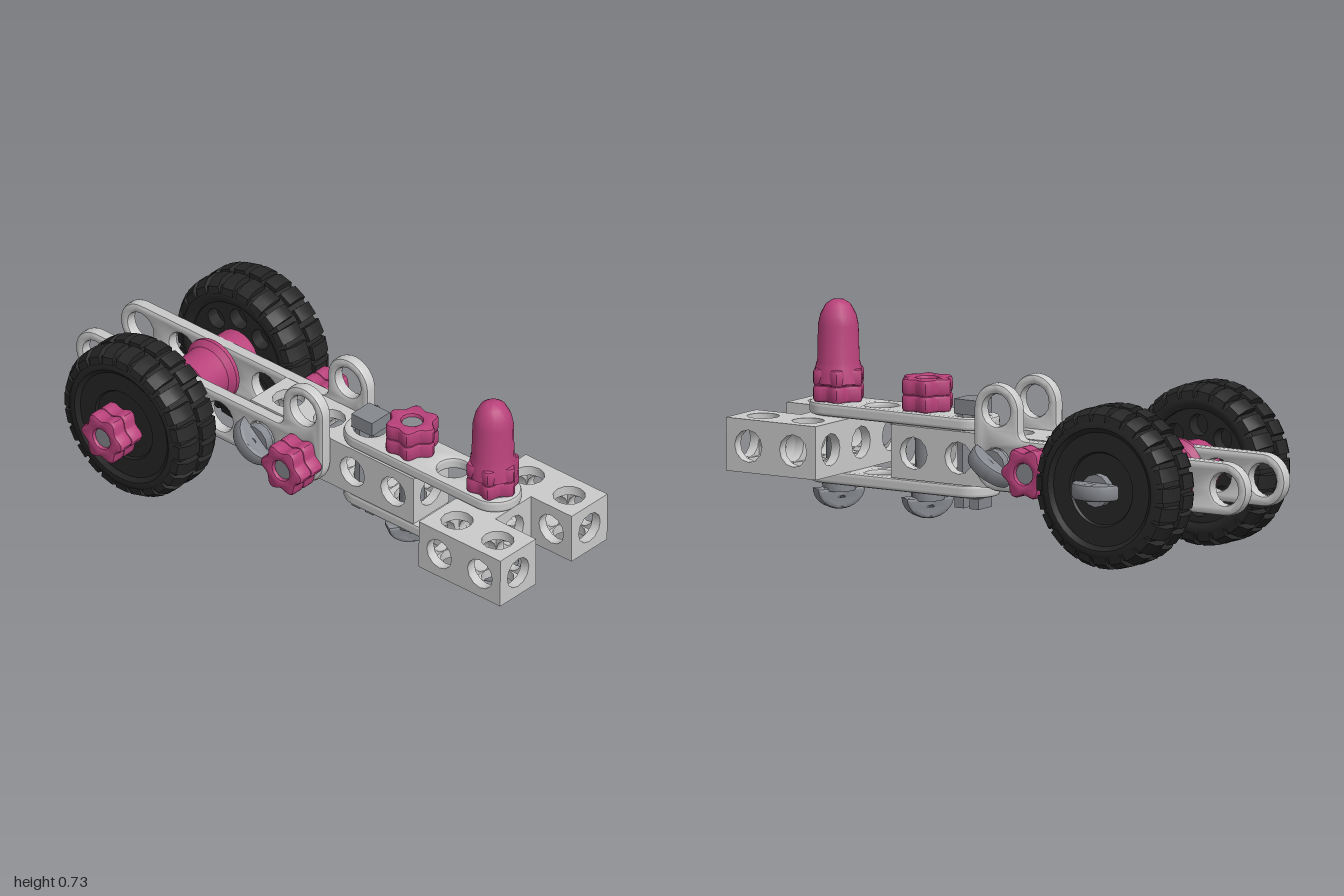
import * as THREE from 'three';
import { mergeGeometries, toCreasedNormals } from 'three/addons/utils/BufferGeometryUtils.js';

const P = 0.181;      // hole pitch
const S = 0.178;      // block size
const HOLE = 0.054;
const SEAT = 0.135;   // outer face of the strips, measured from the centre line

const mat = (color) => new THREE.MeshStandardMaterial({ color, side: THREE.DoubleSide });
const grey = mat(0xcccccc), pink = mat(0xb8417a), steel = mat(0x85888e), black = mat(0x262626);

function add(parent, name, geo, material, x = 0, y = 0, z = 0, crease = 0.6) {
  const mesh = new THREE.Mesh(toCreasedNormals(geo, crease), material);
  mesh.name = name;
  mesh.position.set(x, y, z);
  parent.add(mesh);
  return mesh;
}

function group(parent, name, x = 0, y = 0, z = 0) {
  const g = new THREE.Group();
  g.name = name;
  g.position.set(x, y, z);
  parent.add(g);
  return g;
}

const circle = (x, y, r) => new THREE.Path().absarc(x, y, r, 0, Math.PI * 2, true);
const lathe = (pts, n = 24) => new THREE.LatheGeometry(pts.map(([r, y]) => new THREE.Vector2(r, y)), n);

// Extrusion of total thickness t, centred on z = 0
function slab(shape, t, bevel = 0, seg = 6) {
  const g = new THREE.ExtrudeGeometry(shape, {
    depth: t - 2 * bevel, curveSegments: seg, bevelEnabled: bevel > 0,
    bevelThickness: bevel, bevelSize: bevel, bevelOffset: -bevel, bevelSegments: 2,
  });
  return g.translate(0, 0, bevel - t / 2);
}

// Hollow square beam of n cells along x, bored in all three directions
function beam(parent, name, n, x, y, z) {
  const g = group(parent, name, x, y, z), wall = 0.034;
  const face = (cells) => {
    const w = cells * S / 2, h = S / 2;
    const s = new THREE.Shape([[-w, -h], [w, -h], [w, h], [-w, h]].map((p) => new THREE.Vector2(...p)));
    for (let i = 0; i < cells; i++) s.holes.push(circle((i - (cells - 1) / 2) * S, 0, HOLE));
    return slab(s, wall);
  };
  const off = S / 2 - wall / 2;
  for (let i = 0; i < 4; i++) add(g, 'beamSide', face(n).translate(0, 0, off).rotateX(i * Math.PI / 2), grey);
  for (let i = 0; i <= n; i++) {
    const inset = i === 0 ? wall / 2 : i === n ? -wall / 2 : 0;
    add(g, 'beamPartition', face(1).rotateY(Math.PI / 2), grey, (i - n / 2) * S + inset);
  }
  return g;
}

// Straight strip with n holes, first hole at x = 0
function straightStrip(n) {
  const r = S / 2, s = new THREE.Shape();
  s.absarc((n - 1) * P, 0, r, -Math.PI / 2, Math.PI / 2);
  s.absarc(0, 0, r, Math.PI / 2, Math.PI * 1.5);
  for (let i = 0; i < n; i++) s.holes.push(circle(i * P, 0, HOLE));
  return slab(s, 0.044, 0.012, 8);
}

// L-shaped strip: five pitches back from the corner and one pitch up
function angleStrip() {
  const r = S / 2, s = new THREE.Shape();
  s.absarc(0, 0, r, -Math.PI / 2, 0);
  s.absarc(0, P, r, 0, Math.PI);
  s.lineTo(-r, r + 0.03);
  s.quadraticCurveTo(-r, r, -r - 0.03, r);
  s.absarc(-5 * P, 0, r, Math.PI / 2, Math.PI * 1.5);
  for (let i = -5; i <= 0; i++) s.holes.push(circle(i * P, 0, HOLE));
  s.holes.push(circle(0, P, HOLE));
  return slab(s, 0.044, 0.012, 8);
}

// Six-lobed nut in two tiers, standing on y = 0
function nut(parent) {
  const pts = [];
  for (let i = 0; i < 48; i++) {
    const a = i * Math.PI / 24, r = 0.081 + 0.01 * Math.cos(6 * a);
    pts.push(new THREE.Vector2(r * Math.cos(a), r * Math.sin(a)));
  }
  const s = new THREE.Shape(pts);
  s.holes.push(circle(0, 0, 0.035));
  for (const y of [0.026, 0.08]) add(parent, 'nutTier', slab(s, 0.058, 0.012).rotateX(-Math.PI / 2), pink, 0, y);
}

// Bolt along +y: wing head below the seat, shaft of length len, nut or peg on top
function bolt(parent, name, len, wingAngle, peg = false) {
  const g = group(parent, name);
  const s = new THREE.Shape();
  s.absellipse(0, -0.02, 0.087, 0.072, Math.PI, Math.PI * 2);
  s.holes.push(circle(0, -0.06, 0.012));
  add(g, 'wingHead', slab(s, 0.056, 0.012, 8).rotateY(wingAngle), steel);
  add(g, 'shaft', lathe([[0, -0.03], [0.055, -0.03], [0.055, 0], [0.042, 0], [0.042, len + 0.095], [0, len + 0.095]], 12), steel);
  const top = group(g, peg ? 'peg' : 'nut', 0, len, 0);
  nut(top);
  if (peg) {
    add(top, 'pegBody', lathe([[0.084, 0.06], [0.076, 0.115], [0.071, 0.13], [0.068, 0.25], [0.06, 0.285],
      [0.042, 0.318], [0.02, 0.333], [0, 0.335]], 16), pink);
  }
  return g;
}

// Wheel along y, outer face up
function wheel(parent, name, z) {
  const g = group(parent, name, 0, 0, z);
  add(g, 'tyre', lathe([[0.04, -0.03], [0.19, -0.03], [0.19, -0.085], [0.205, -0.094], [0.225, -0.094], [0.248, -0.08],
    [0.252, 0], [0.248, 0.08], [0.225, 0.094], [0.205, 0.094], [0.19, 0.082], [0.125, 0.082], [0.12, 0.074],
    [0.04, 0.074]], 40), black);
  // Inner hub disc with a ring of round openings
  const disc = new THREE.Shape().absarc(0, 0, 0.192, 0, Math.PI * 2);
  for (let i = 0; i < 8; i++) {
    disc.holes.push(circle(0.135 * Math.cos(i * Math.PI / 4), 0.135 * Math.sin(i * Math.PI / 4), 0.036));
  }
  add(g, 'hubDisc', slab(disc, 0.045, 0, 12).rotateX(-Math.PI / 2), black, 0, -0.052);
  // Two staggered rows of tread blocks
  const profile = new THREE.Shape([[0.235, 0.008], [0.266, 0.008], [0.27, 0.03], [0.268, 0.062], [0.25, 0.092], [0.225, 0.097]]
    .map((p) => new THREE.Vector2(...p)));
  const blocks = [];
  for (let i = 0; i < 48; i++) {
    const b = slab(profile, 0.048);
    if (i % 2) b.rotateX(Math.PI);
    blocks.push(b.rotateY(i * Math.PI / 24));
  }
  add(g, 'tread', mergeGeometries(blocks), black);
  g.rotation.x = Math.sign(z) * Math.PI / 2;
}

export function createModel() {
  const root = new THREE.Group();
  root.name = 'constructionSetVehicle';
  const car = group(root, 'vehicle', 0.005, 0.267, -0.04);
  car.rotation.set(0, 0.03, -0.005);

  // Chassis: bored beam, side angle strips, upper and lower strips
  beam(car, 'mainBeam', 4, 0.5 * P, 0, 0);
  for (const side of [-1, 1]) {
    add(car, 'angleStrip', angleStrip(), grey, 0, 0, side * 0.112);
    add(car, 'deckStrip', straightStrip(4).rotateX(Math.PI / 2), grey, P, side * 0.112, 0);
  }

  // U-shaped end block
  const fork = group(car, 'forkBlock', 0.715, 0, 0);
  beam(fork, 'forkCross', 3, 0, 0, 0).rotation.y = Math.PI / 2;
  for (const side of [-1, 1]) beam(fork, 'forkArm', 1, S, 0, side * S);

  // Vertical bolts, one carrying the tall peg
  bolt(car, 'deckBolt', 2 * SEAT, 1).position.set(2 * P, -SEAT, 0);
  bolt(car, 'pegBolt', 2 * SEAT, 1, true).position.set(0.715, -SEAT, 0);

  // Split clip pin through the first deck hole
  const pin = group(car, 'clipPin', P, 0, 0);
  for (const side of [-1, 1]) {
    add(pin, 'pinLeg', new THREE.BoxGeometry(0.02, 0.35, 0.06), steel, side * 0.032, 0.005, 0);
    add(pin, 'pinFoot', new THREE.BoxGeometry(0.035, 0.035, 0.08), steel, side * 0.03, -0.158, 0);
  }
  add(pin, 'pinHead', new THREE.BoxGeometry(0.09, 0.05, 0.09), steel, 0, 0.163, 0);

  // Cross bolts clamping the side strips to the beam
  const crossA = bolt(car, 'crossBolt', 2 * SEAT, 0.7);
  crossA.position.set(-P, 0, SEAT);
  crossA.rotation.x = -Math.PI / 2;
  const crossB = bolt(car, 'crossBolt', 2 * SEAT, 0.6);
  crossB.position.set(0, 0, -SEAT);
  crossB.rotation.x = Math.PI / 2;

  // Wheel set: axle bolt, spool, spacers and wheels
  const axle = group(car, 'wheelSet', -0.565, 0, 0.015);
  const axleBolt = bolt(axle, 'axleBolt', 0.74, 0);
  axleBolt.position.z = -0.37;
  axleBolt.rotation.x = Math.PI / 2;
  add(axle, 'spool', lathe([[0.04, -0.089], [0.11, -0.089], [0.11, -0.075], [0.092, -0.055], [0.088, 0], [0.092, 0.055],
    [0.11, 0.075], [0.11, 0.089], [0.04, 0.089]]).rotateX(Math.PI / 2), pink);
  for (const side of [-1, 1]) {
    add(axle, 'spacer', new THREE.CylinderGeometry(0.088, 0.088, 0.08, 20).rotateX(Math.PI / 2), pink, 0, 0, side * 0.17);
    wheel(axle, 'wheel', side * 0.281);
  }
  return root;
}
